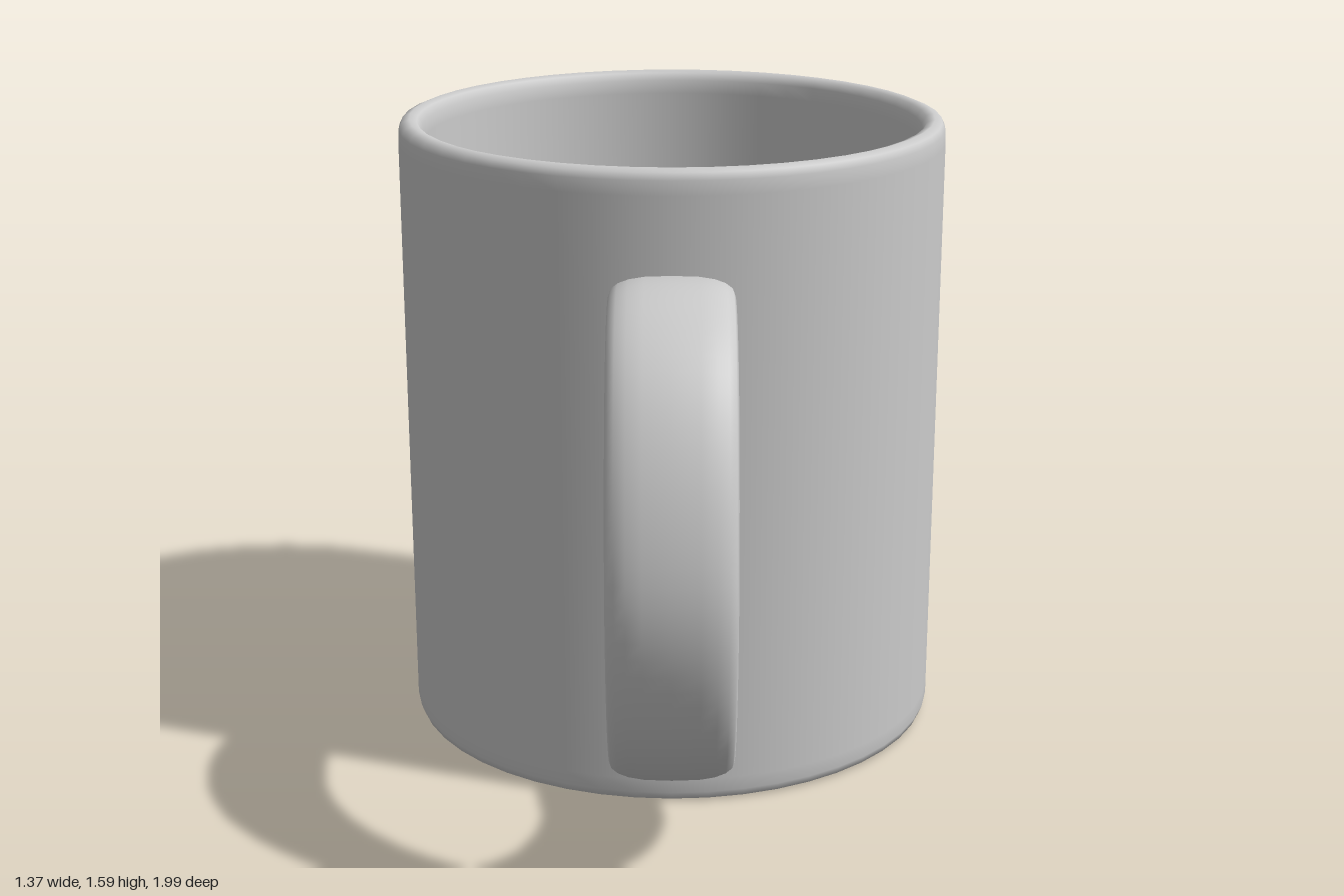
import * as THREE from 'three';
import { mergeVertices } from 'three/addons/utils/BufferGeometryUtils.js';

const material = new THREE.MeshStandardMaterial({ color: 0xcccccc });

// Body: one closed profile, from the recessed underside over the rim to the inner floor
function createBody() {
  const profile = [
    [0, 0.08], [0.55, 0.08], [0.585, 0.07], [0.6, 0.045], [0.61, 0.015], [0.63, 0],
    [0.66, 0], [0.678, 0.006], [0.685, 0.025], [0.685, 0.06],
    [0.685, 1.51], [0.684, 1.545], [0.676, 1.562], [0.657, 1.57],
    [0.638, 1.564], [0.627, 1.545], [0.624, 1.51],
    [0.624, 0.22], [0.615, 0.17], [0.585, 0.145], [0.53, 0.14], [0, 0.14],
  ].map(([r, y]) => new THREE.Vector2(r, y - 0.785));
  const body = new THREE.Mesh(new THREE.LatheGeometry(profile, 48), material);
  body.name = 'cupBody';
  body.position.set(0, 0.795, -0.302);
  body.rotation.x = 0.012; // slight lean
  return body;
}

// Handle: a tube in the yz plane, widened sideways into a rounded strap
function createHandle() {
  const path = new THREE.CatmullRomCurve3([
    [0.34, 1.275], [0.45, 1.298], [0.55, 1.305], [0.68, 1.272], [0.8, 1.182], [0.905, 1.0],
    [0.957, 0.76], [0.925, 0.56], [0.835, 0.385], [0.7, 0.265], [0.55, 0.215],
    [0.45, 0.225], [0.34, 0.255],
  ].map(([z, y]) => new THREE.Vector3(0, y, z)));
  const radius = 0.041, halfWidth = 0.143;
  const geometry = new THREE.TubeGeometry(path, 48, radius, 20);
  const pos = geometry.attributes.position;
  for (let i = 0; i < pos.count; i++) {
    const t = Math.min(1, Math.abs(pos.getX(i)) / radius);
    pos.setX(i, Math.sign(pos.getX(i)) * halfWidth * Math.pow(t, 0.7));
  }
  // Weld the seam so the strap shades smoothly
  geometry.deleteAttribute('uv');
  geometry.deleteAttribute('normal');
  const welded = mergeVertices(geometry, 1e-4);
  welded.computeVertexNormals();
  const handle = new THREE.Mesh(welded, material);
  handle.name = 'handle';
  return handle;
}

export function createModel() {
  const mug = new THREE.Group();
  mug.name = 'mug';
  mug.add(createBody(), createHandle());
  return mug;
}
